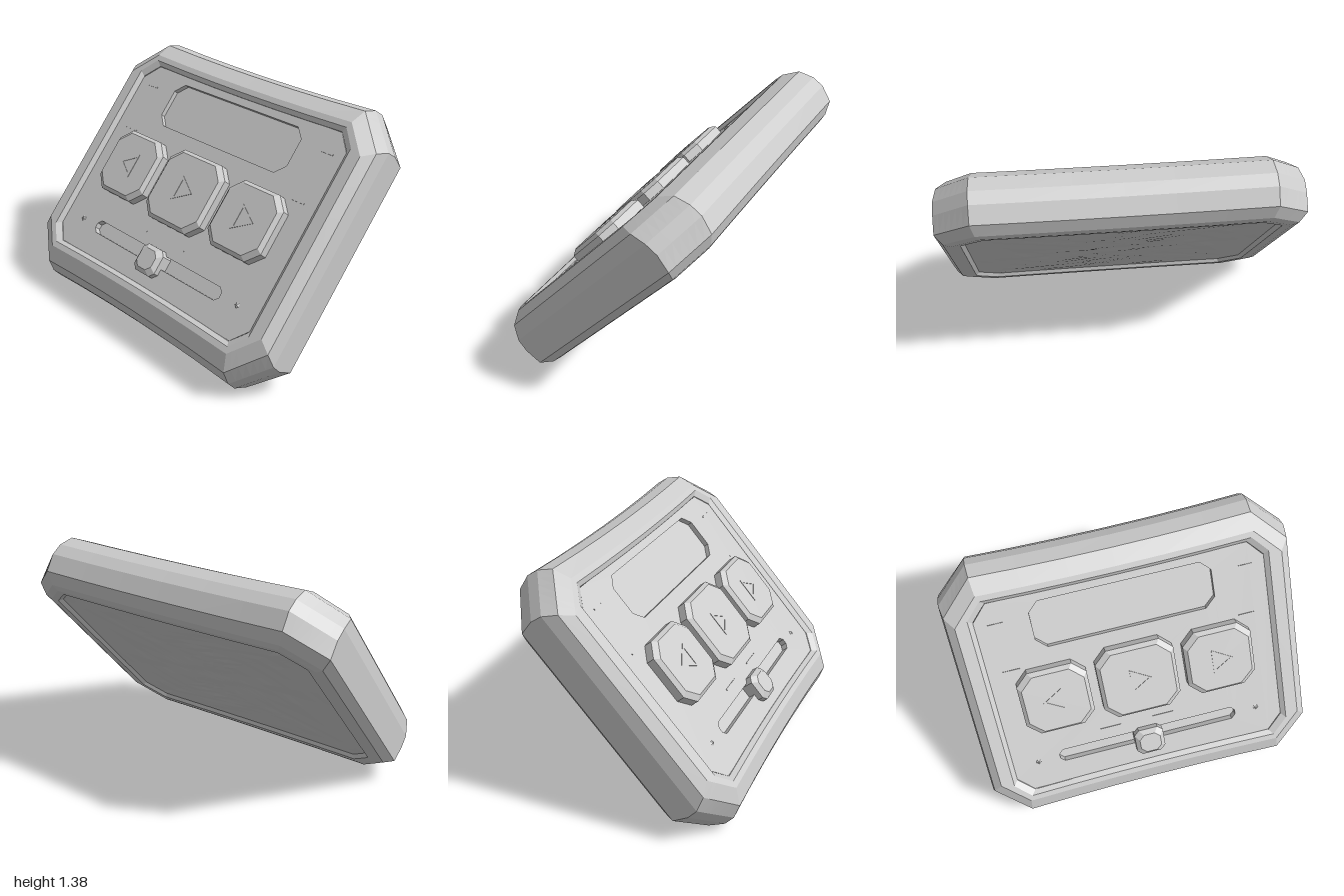
import * as THREE from 'three';

const mat = new THREE.MeshStandardMaterial({ color: 0xcccccc, flatShading: true, side: THREE.DoubleSide });

// Corners of a chamfered rectangle, counter-clockwise
function octagon(hx, hy, cx, cy) {
  return [[hx, -hy + cy], [hx, hy - cy], [hx - cx, hy], [-hx + cx, hy],
    [-hx, hy - cy], [-hx, -hy + cy], [-hx + cx, -hy], [hx - cx, -hy]].map(p => new THREE.Vector2(...p));
}

function octShape(hx, hy, cx, cy, x = 0, y = 0, Type = THREE.Shape) {
  return new Type(octagon(hx, hy, cx, cy).map(p => p.add(new THREE.Vector2(x, y))));
}

// Loft through chamfered rectangles [hx, hy, cx, cy, z], listed front to back
function loft(sections, segs = 1, warp = p => p) {
  const pos = [], idx = [], n = 8 * segs;
  for (const [hx, hy, cx, cy, z] of sections) {
    const c = octagon(hx, hy, cx, cy);
    for (let j = 0; j < n; j++) {
      const k = Math.floor(j / segs);
      const p = c[k].clone().lerp(c[(k + 1) % 8], (j % segs) / segs);
      pos.push(...warp(new THREE.Vector3(p.x, p.y, z)).toArray());
    }
  }
  for (let i = 0; i < sections.length - 1; i++) {
    for (let j = 0; j < n; j++) {
      const a = i * n + j, b = i * n + (j + 1) % n;
      idx.push(a, a + n, b, b, a + n, b + n);
    }
  }
  const g = new THREE.BufferGeometry();
  g.setAttribute('position', new THREE.Float32BufferAttribute(pos, 3));
  g.setIndex(idx);
  g.computeVertexNormals();
  return g;
}

export function createModel() {
  const root = new THREE.Group();
  root.name = 'controlPanel';
  const slab = new THREE.Group();
  slab.name = 'tiltedSlab';
  slab.rotation.x = -0.726;
  slab.position.y = 0.693;
  root.add(slab);

  const add = (name, geometry, x = 0, y = 0, z = 0, parent = slab) => {
    const m = new THREE.Mesh(geometry, mat);
    m.name = name;
    m.position.set(x, y, z);
    parent.add(m);
    return m;
  };
  const extrude = (shape, depth) => new THREE.ExtrudeGeometry(shape, { depth, bevelEnabled: false });

  // Slightly waisted shell
  const waist = p => {
    p.y *= 1 - 0.022 * Math.max(0, 1 - (p.x / 0.8) ** 2);
    return p;
  };
  add('shell', loft([
    [0.83, 0.635, 0.09, 0.10, 0.14],
    [0.835, 0.64, 0.09, 0.10, 0.168],
    [0.86, 0.665, 0.09, 0.10, 0.19],
    [0.935, 0.70, 0.15, 0.16, 0.19],
    [0.985, 0.795, 0.19, 0.20, 0.142],
    [1.0, 0.84, 0.2, 0.20, 0.06],
    [1.0, 0.85, 0.2, 0.20, -0.015],
    [1.0, 0.82, 0.2, 0.19, -0.115],
    [0.96, 0.75, 0.18, 0.17, -0.16],
    [0.92, 0.71, 0.16, 0.15, -0.17],
    [0.87, 0.675, 0.13, 0.12, -0.168],
    [0.85, 0.655, 0.12, 0.11, -0.145],
  ], 6, waist));

  // Recessed back plate with a gently hammered surface
  const back = [];
  for (let i = 0; i <= 14; i++) {
    const s = 1 - i / 14;
    back.push([0.855 * s, 0.66 * s, 0.12 * s, 0.11 * s, -0.147]);
  }
  add('backPlate', loft(back, 7, p => {
    const q = p.clone();
    if (Math.abs(q.x) < 0.8 && Math.abs(q.y) < 0.61) {
      p.z += 0.004 * Math.sin(17 * q.x + 3 * Math.sin(9 * q.y)) * Math.cos(14 * q.y - 6 * q.x);
    }
    return waist(p);
  }));

  // Face plate with openings for display and slider
  const face = octShape(0.835, 0.635, 0.09, 0.10);
  face.holes.push(octShape(0.525, 0.145, 0.06, 0.06, 0, 0.435, THREE.Path));
  face.holes.push(octShape(0.55, 0.04, 0.025, 0.025, 0, -0.45, THREE.Path));
  add('facePlate', extrude(face, 0.045), 0, 0, 0.12);
  add('displayFloor', extrude(octShape(0.54, 0.16, 0.06, 0.06), 0.02), 0, 0.435, 0.115);
  add('sliderFloor', extrude(octShape(0.56, 0.05, 0.025, 0.025), 0.01), 0, -0.45, 0.115);

  // Bevelled button or knob; z is measured from the face plate
  const cap = (w, h, c, top, bevel) => loft([
    [0, 0, 0, 0, top],
    [w - bevel, h - bevel, c, c, top],
    [w, h, c, c, top - bevel],
    [w, h, c, c, 0],
  ]);

  // Three buttons with faint triangular marks
  [[-0.49, 0.205, 0.205, -1], [0, 0.232, 0.225, 1], [0.49, 0.205, 0.205, 1]].forEach(([x, w, h, dir], i) => {
    const button = new THREE.Group();
    button.name = ['rightButton', 'middleButton', 'leftButton'][i];
    button.position.set(x, -0.025, 0.16);
    slab.add(button);
    add('buttonCap', cap(w, h, 0.075, 0.078, 0.022), 0, 0, 0, button);
    const tri = (r, Type) => new Type([[r * dir, 0], [-r * 0.6 * dir, r], [-r * 0.6 * dir, -r]]
      .map(p => new THREE.Vector2(...p)));
    const mark = tri(0.078, THREE.Shape);
    mark.holes.push(tri(0.055, THREE.Path));
    add('buttonMark', extrude(mark, 0.004), 0, 0, 0.077, button);
  });

  // Slider knob
  add('sliderKnob', cap(0.088, 0.085, 0.03, 0.1, 0.025), 0, -0.475, 0.125);

  // Small raised ticks on the face plate
  const tick = (x, y, w) => add('tick', new THREE.BoxGeometry(w, 0.008, 0.008), x, y, 0.165);
  for (const s of [-1, 1]) {
    tick(s > 0 ? 0.11 : -0.215, -0.335, 0.13);
    tick(s * 0.72, 0.5, 0.09);
    tick(s * 0.7, 0.195, 0.1);
    const stud = add('faceStud', new THREE.ConeGeometry(0.022, 0.012, 5), s * 0.68, -0.45, 0.169);
    stud.rotation.x = Math.PI / 2;
  }
  return root;
}
